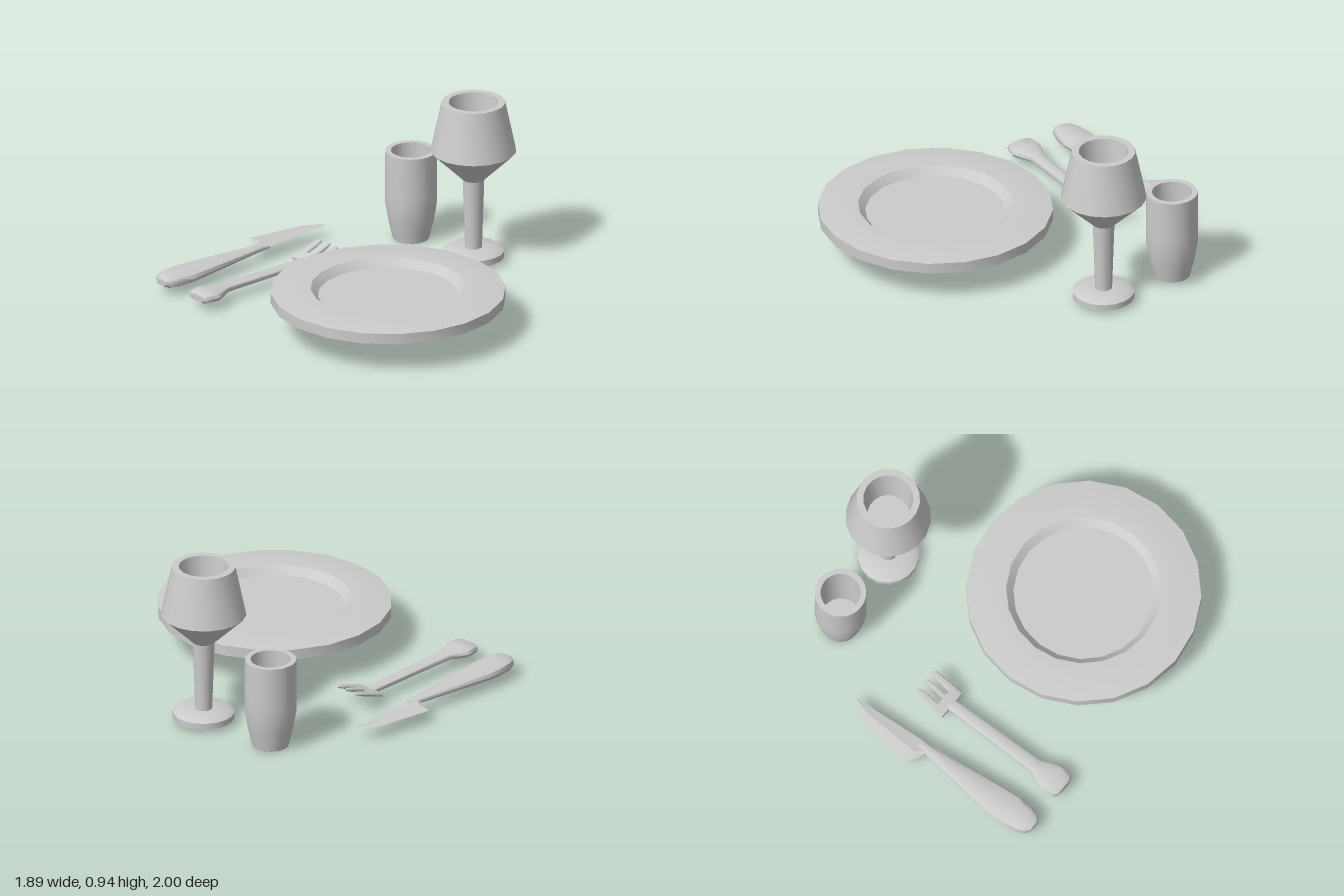
import * as THREE from 'three';
import { toCreasedNormals } from 'three/addons/utils/BufferGeometryUtils.js';

const material = new THREE.MeshStandardMaterial({ color: 0xcccccc, side: THREE.DoubleSide });

function addMesh(parent, name, geometry, crease = 0.6) {
  const mesh = new THREE.Mesh(toCreasedNormals(geometry, crease), material);
  mesh.name = name;
  parent.add(mesh);
  return mesh;
}

// Turned part: profile of [radius, y], from the underside round to the inside.
function turned(parent, name, profile, sides, x, z) {
  const points = profile.map(([r, y]) => new THREE.Vector2(r, y));
  const mesh = addMesh(parent, name, new THREE.LatheGeometry(points, sides));
  mesh.position.set(x, 0, z);
}

// Solid running along x: sections of [x, zMin, zMax, yMin, yMax]; power below 1 squares them off.
function loft(parent, name, sections, sides = 12, power = 0.7, crease = 0.8) {
  const positions = [], index = [];
  const bulge = (v) => Math.sign(v) * Math.pow(Math.abs(v), power);
  for (const [x, z0, z1, y0, y1] of sections) {
    for (let j = 0; j < sides; j++) {
      const a = (j / sides) * Math.PI * 2;
      positions.push(
        x,
        (y0 + y1) / 2 + bulge(Math.sin(a)) * (y1 - y0) / 2,
        (z0 + z1) / 2 + bulge(Math.cos(a)) * (z1 - z0) / 2
      );
    }
  }
  const last = (sections.length - 1) * sides;
  for (let j = 0; j < sides; j++) {
    const k = (j + 1) % sides;
    for (let i = 0; i < last; i += sides) {
      index.push(i + j, i + sides + j, i + k, i + k, i + sides + j, i + sides + k);
    }
    // End caps
    if (j > 0 && k > 0) index.push(0, j, k, last, last + k, last + j);
  }
  const geometry = new THREE.BufferGeometry();
  geometry.setAttribute('position', new THREE.Float32BufferAttribute(positions, 3));
  geometry.setIndex(index);
  return addMesh(parent, name, geometry, crease);
}

function createKnife() {
  const knife = new THREE.Group();
  knife.name = 'knife';
  loft(knife, 'knifeHandle', [
    [-0.915, -0.87, -0.80, 0.06, 0.095],
    [-0.89, -0.905, -0.775, 0.045, 0.107],
    [-0.84, -0.925, -0.762, 0.04, 0.11],
    [-0.75, -0.94, -0.755, 0.042, 0.108],
    [-0.66, -0.938, -0.765, 0.045, 0.105],
    [-0.18, -0.885, -0.83, 0.06, 0.092],
    [-0.13, -0.88, -0.83, 0.064, 0.088],
  ]);
  // Blade: thin diamond sections, stepping up at the heel and tapering to the point
  loft(knife, 'knifeBlade', [
    [-0.185, -0.885, -0.835, 0.062, 0.09],
    [-0.135, -1.0, -0.83, 0.062, 0.09],
    [0.2, -0.945, -0.858, 0.067, 0.083],
    [0.27, -0.905, -0.862, 0.07, 0.08],
    [0.305, -0.875, -0.866, 0.073, 0.077],
  ], 4, 1, 0.3);
  return knife;
}

function createFork() {
  const fork = new THREE.Group();
  fork.name = 'fork';
  loft(fork, 'forkHandle', [
    [-0.9, -0.61, -0.50, 0.05, 0.09],
    [-0.885, -0.632, -0.48, 0.042, 0.1],
    [-0.81, -0.645, -0.466, 0.042, 0.1],
    [-0.78, -0.635, -0.478, 0.044, 0.096],
    [-0.7, -0.602, -0.518, 0.052, 0.092],
    [-0.4, -0.602, -0.525, 0.05, 0.086],
    [-0.1, -0.602, -0.535, 0.048, 0.08],
  ]);

  // Head rises towards the tips of the tines
  const rise = (x) => 0.06 + (x + 0.12) * 0.34;
  const section = (x, z, halfWidth, halfHeight) =>
    [x, z - halfWidth, z + halfWidth, rise(x) - halfHeight, rise(x) + halfHeight];
  loft(fork, 'forkHead', [
    section(-0.12, -0.568, 0.09, 0.013),
    section(-0.06, -0.568, 0.09, 0.014),
  ], 12, 0.4);
  for (const [z, w] of [[-0.634, 0.023], [-0.561, 0.016], [-0.5, 0.022]]) {
    loft(fork, 'forkTine', [
      section(-0.075, z, w, 0.013),
      section(0.03, z, w * 0.95, 0.012),
      section(0.06, z, w * 0.75, 0.009),
      section(0.072, z, w * 0.3, 0.004),
    ], 8, 0.8);
  }
  return fork;
}

export function createModel() {
  const model = new THREE.Group();
  model.name = 'tableSetting';

  turned(model, 'plate', [
    [0, 0.12], [0.46, 0.12], [0.645, 0.18], [0.645, 0.24],
    [0.5, 0.255], [0.425, 0.253], [0.385, 0.21], [0, 0.21],
  ], 20, -0.3, 0.352);

  turned(model, 'wineGlass', [
    [0, 0.025], [0.17, 0.025], [0.17, 0.06], [0.14, 0.08], [0.047, 0.08],
    [0.06, 0.48], [0.235, 0.65], [0.175, 0.935],
    [0.137, 0.935], [0.115, 0.68], [0, 0.68],
  ], 18, 0.71, -0.1);

  turned(model, 'tumbler', [
    [0, 0], [0.1, 0], [0.125, 0.105], [0.141, 0.2], [0.143, 0.28], [0.141, 0.515],
    [0.11, 0.515], [0.11, 0.12], [0, 0.12],
  ], 24, 0.665, -0.57);

  model.add(createKnife(), createFork());
  return model;
}
